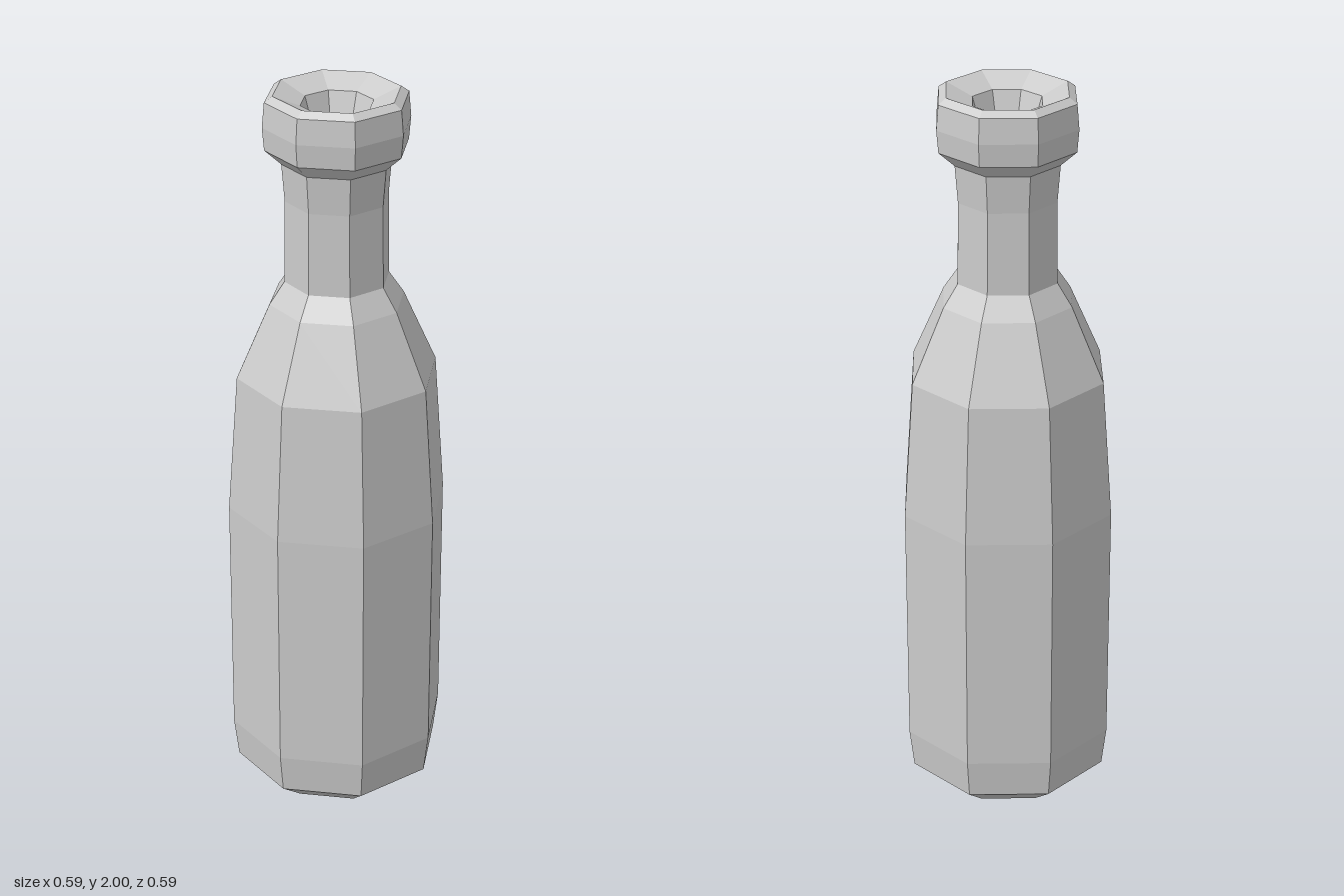
import * as THREE from 'three';

const SIDES = 8;

// Faceted ring of revolution from [radius, height] pairs, listed bottom to top outside
function lathe(name, profile, material) {
  const points = profile.map(([r, y]) => new THREE.Vector2(r, y));
  const mesh = new THREE.Mesh(new THREE.LatheGeometry(points, SIDES), material);
  mesh.name = name;
  return mesh;
}

export function createModel() {
  const bottle = new THREE.Group();
  bottle.name = 'bottle';
  const material = new THREE.MeshStandardMaterial({ color: 0xcccccc, flatShading: true });

  // Closed base, chamfered foot, tapering body and shoulder
  bottle.add(lathe('body', [
    [0, 0], [0.195, 0], [0.282, 0.07], [0.295, 0.18], [0.295, 0.86],
    [0.267, 1.24], [0.178, 1.44], [0.138, 1.5],
  ], material));

  // Slender neck, flaring slightly under the lip
  bottle.add(lathe('neck', [[0.138, 1.5], [0.135, 1.72], [0.143, 1.82]], material));

  // Bulging lip, turning over into the funnel-shaped mouth with its floor
  bottle.add(lathe('lip', [
    [0.143, 1.82], [0.186, 1.86], [0.191, 1.92], [0.185, 1.985], [0.164, 2],
  ], material));
  bottle.add(lathe('mouth', [[0.164, 2], [0.094, 1.97], [0.058, 1.85], [0, 1.85]], material));

  return bottle;
}
